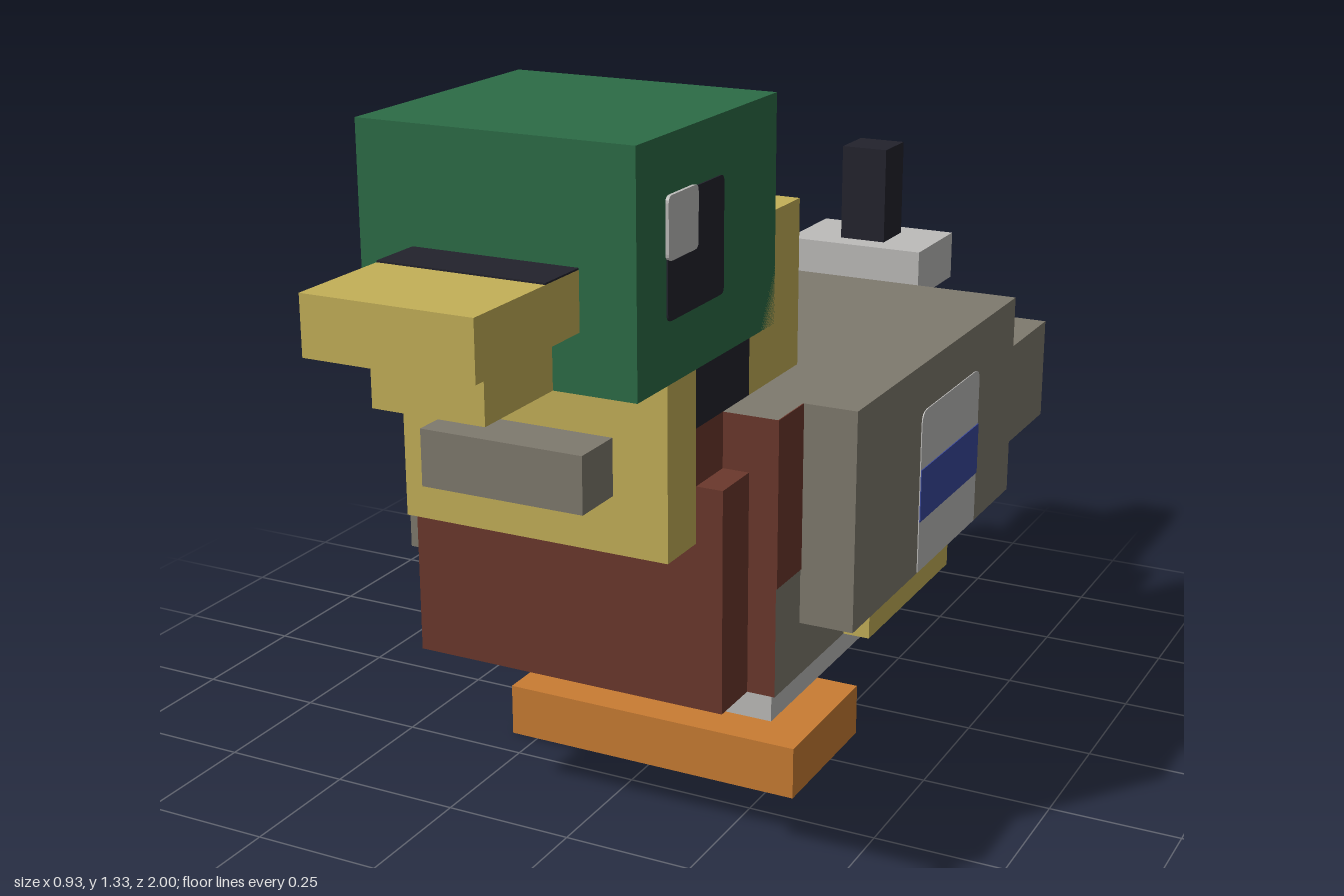
import * as THREE from 'three';

const mat = (name, color) => {
  const m = new THREE.MeshStandardMaterial({ color });
  m.name = name;
  return m;
};

export function createModel() {
  const green = mat('green', 0x2c6c46);
  const yellow = mat('straw yellow', 0xc4b058);
  const grey = mat('warm grey', 0x7f7a6e);
  const brown = mat('chestnut', 0x6b382c);
  const white = mat('pale grey', 0xbdbcba);
  const orange = mat('orange', 0xc97c33);
  const black = mat('dark navy', 0x22222c);
  const blue = mat('blue', 0x3a489c);

  const duck = new THREE.Group();
  duck.name = 'duck';

  // Box from its limits; faces may override single sides: px nx py ny pz nz
  const sides = ['px', 'nx', 'py', 'ny', 'pz', 'nz'];
  function box(name, material, [x0, x1], [y0, y1], [z0, z1], faces) {
    const g = new THREE.BoxGeometry(x1 - x0, y1 - y0, z1 - z0);
    const m = faces ? sides.map((s) => faces[s] || material) : material;
    const mesh = new THREE.Mesh(g, m);
    mesh.position.set((x0 + x1) / 2, (y0 + y1) / 2, (z0 + z1) / 2);
    mesh.name = name;
    duck.add(mesh);
  }
  const mid = (name, material, w, y, z, faces) => box(name, material, [-w, w], y, z, faces);
  const pair = (name, material, [a, b], y, z) => {
    box(name + 'Left', material, [a, b], y, z);
    box(name + 'Right', material, [-b, -a], y, z);
  };

  // Thin side plate with rounded corners, mirrored on both sides
  function plate(name, material, x, thick, [z0, z1], [y0, y1], rBottom, rTop) {
    const s = new THREE.Shape();
    s.moveTo(z0 + rBottom, y0);
    s.lineTo(z1 - rBottom, y0);
    s.quadraticCurveTo(z1, y0, z1, y0 + rBottom);
    s.lineTo(z1, y1 - rTop);
    s.quadraticCurveTo(z1, y1, z1 - rTop, y1);
    s.lineTo(z0 + rTop, y1);
    s.quadraticCurveTo(z0, y1, z0, y1 - rTop);
    s.lineTo(z0, y0 + rBottom);
    s.quadraticCurveTo(z0, y0, z0 + rBottom, y0);
    const g = new THREE.ExtrudeGeometry(s, { depth: thick, bevelEnabled: false, curveSegments: 4 });
    g.rotateY(-Math.PI / 2); // shape x becomes z, depth points to -x
    for (const side of [1, -1]) {
      const mesh = new THREE.Mesh(g, material);
      mesh.position.x = side > 0 ? x + thick : -x;
      mesh.name = name + (side > 0 ? 'Left' : 'Right');
      duck.add(mesh);
    }
  }

  // Head, eyes and beak
  mid('head', green, 0.256, [0.923, 1.333], [0.18, 0.692]);
  plate('eye', black, 0.256, 0.003, [0.39, 0.592], [1.03, 1.232], 0.012, 0.012);
  plate('eyeGlint', white, 0.256, 0.006, [0.49, 0.595], [1.13, 1.236], 0.012, 0.012);
  mid('upperBeak', yellow, 0.154, [1.026, 1.128], [0.692, 1]);
  mid('beakBase', black, 0.154, [1.128, 1.131], [0.692, 0.795]);
  mid('lowerBeak', yellow, 0.103, [0.923, 1.026], [0.692, 0.897]);

  // Neck and scarf
  mid('neck', black, 0.256, [0.82, 0.923], [0.282, 0.487]);
  mid('neckBase', brown, 0.256, [0.718, 0.82], [0.385, 0.487]);
  mid('scarfBack', yellow, 0.256, [0.82, 1.128], [0.077, 0.282]);
  mid('scarfFront', yellow, 0.256, [0.615, 0.923], [0.487, 0.59]);
  mid('scarfKnot', grey, 0.154, [0.718, 0.82], [0.59, 0.692]);

  // Body, chest and belly
  mid('body', grey, 0.359, [0.308, 0.82], [-0.538, 0.385], { pz: brown, nz: black });
  pair('shoulderPatch', brown, [0.359, 0.361], [0.513, 0.82], [0.282, 0.385]);
  mid('chest', brown, 0.306, [0.308, 0.718], [0.385, 0.487]);
  mid('belly', white, 0.306, [0.205, 0.308], [-0.436, 0.282], { ny: grey });
  pair('flank', yellow, [0.359, 0.41], [0.308, 0.41], [-0.333, 0.077]);

  // Wings with a banded patch
  pair('wing', grey, [0.359, 0.461], [0.41, 0.82], [-0.538, 0.282]);
  pair('wingTip', grey, [0.359, 0.461], [0.513, 0.718], [-0.744, -0.538]);
  plate('wingPatch', white, 0.461, 0.002, [-0.333, -0.026], [0.412, 0.728], 0, 0.025);
  plate('wingBand', blue, 0.461, 0.004, [-0.333, -0.026], [0.513, 0.615], 0, 0);

  // Tail
  mid('tailBase', black, 0.256, [0.41, 0.718], [-0.744, -0.538]);
  mid('tailStep', black, 0.205, [0.615, 0.718], [-0.846, -0.744]);
  mid('tailFan', white, 0.154, [0.718, 0.82], [-1, -0.795], { ny: grey });
  mid('tailCurl', black, 0.051, [0.82, 1.026], [-0.949, -0.846]);

  // Legs and webbed feet
  pair('leg', orange, [0.103, 0.205], [0.103, 0.205], [-0.128, -0.026]);
  mid('feet', orange, 0.306, [0, 0.103], [-0.128, 0.18]);

  return duck;
}
